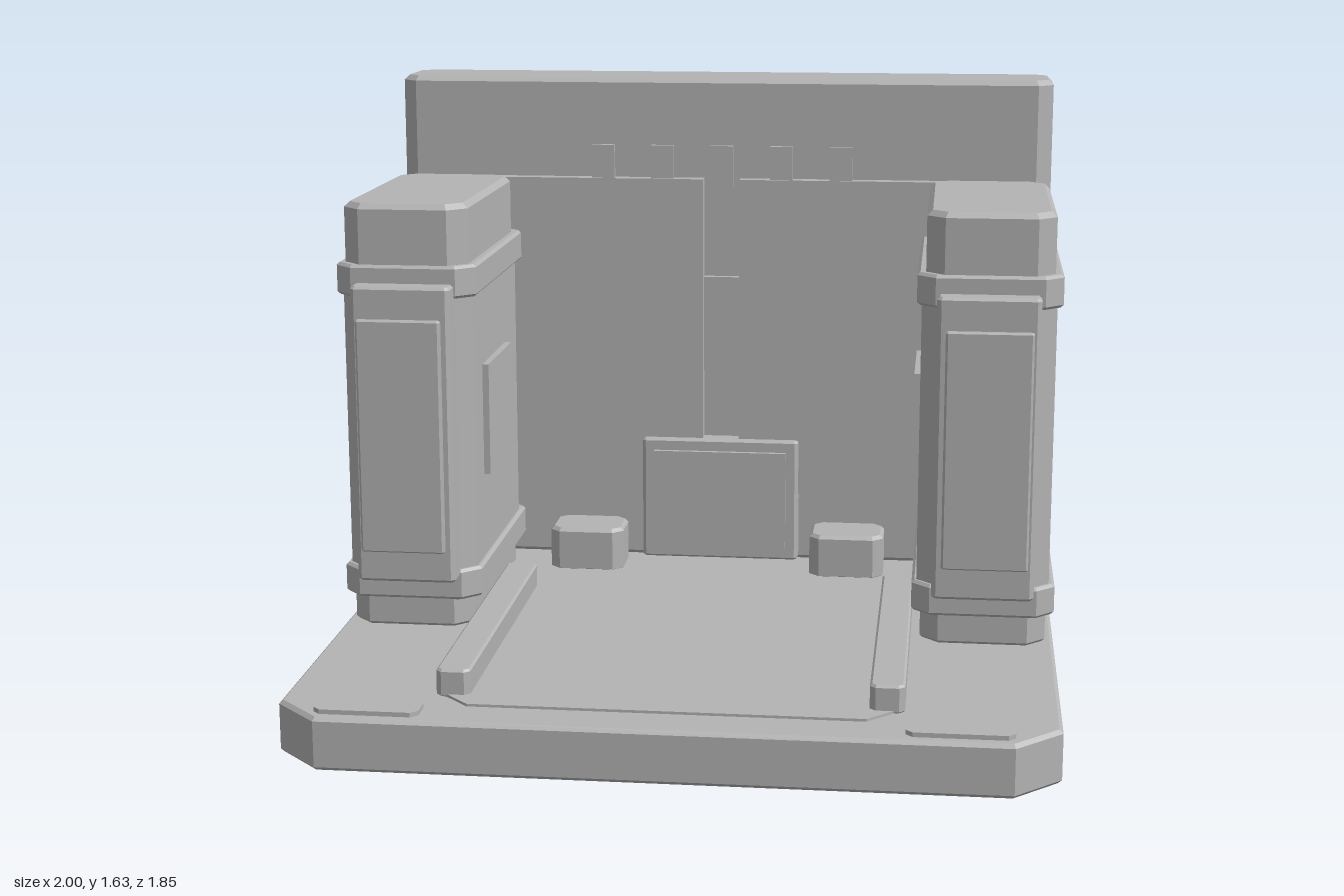
import * as THREE from 'three';

const grey = new THREE.MeshStandardMaterial({ color: 0xb4b4b4 });
grey.name = 'grey';

// Upright block between two corners, with corners cut in plan and softened top and bottom edges
function block(parent, name, [x0, x1], [y0, y1], [z0, z1], cut = 0, bevel = 0) {
  const w = (x1 - x0) / 2, d = (z1 - z0) / 2, h = y1 - y0;
  let geometry;
  if (cut > 0) {
    const shape = new THREE.Shape([
      [w - cut, -d], [w, -d + cut], [w, d - cut], [w - cut, d],
      [-w + cut, d], [-w, d - cut], [-w, -d + cut], [-w + cut, -d],
    ].map(([x, y]) => new THREE.Vector2(x, y)));
    geometry = new THREE.ExtrudeGeometry(shape, {
      depth: h - 2 * bevel, bevelEnabled: bevel > 0,
      bevelThickness: bevel, bevelSize: bevel, bevelOffset: -bevel, bevelSegments: 1,
    });
    geometry.translate(0, 0, bevel - h / 2).rotateX(-Math.PI / 2);
  } else {
    geometry = new THREE.BoxGeometry(2 * w, h, 2 * d);
  }
  const mesh = new THREE.Mesh(geometry, grey);
  mesh.name = name;
  mesh.position.set((x0 + x1) / 2, (y0 + y1) / 2, (z0 + z1) / 2);
  parent.add(mesh);
  return mesh;
}

// Tower on the model's left; turned into the right one by mirroring x spans
function tower(side) {
  const group = new THREE.Group();
  group.name = side > 0 ? 'leftTower' : 'rightTower';
  const span = (a, b) => (side > 0 ? [a, b] : [-b, -a]);
  const add = (name, x, y, z, cut, bevel) => block(group, name, span(...x), y, z, cut, bevel);

  add('towerFoot', [0.63, 0.975], [0.14, 0.24], [-0.56, 0.155], 0.05, 0.01);
  add('towerBody', [0.618, 0.982], [0.22, 1.17], [-0.56, 0.16], 0.05, 0.01);
  add('towerCap', [0.628, 0.975], [1.15, 1.343], [-0.56, 0.157], 0.05, 0.015);
  add('lowerBand', [0.605, 0.998], [0.225, 0.312], [-0.6, 0.167], 0.05, 0.008);
  add('upperBand', [0.605, 0.998], [1.085, 1.175], [-0.6, 0.167], 0.05, 0.008);
  add('frontPanel', [0.66, 0.938], [0.29, 1.125], [0.14, 0.225], 0.012, 0.008);
  add('frontInset', [0.685, 0.92], [0.38, 1.035], [0.22, 0.245], 0.006, 0.004);
  add('innerPlate', [0.6, 0.625], [0.55, 0.87], [-0.34, 0.0]);

  // Curved pipe from the tower to the back wall
  const path = new THREE.CatmullRomCurve3([
    [0.82, 0.68, -0.51], [0.835, 0.5, -0.575], [0.845, 0.37, -0.66],
  ].map(([x, y, z]) => new THREE.Vector3(side * x, y, z)));
  const pipe = new THREE.Mesh(new THREE.TubeGeometry(path, 10, 0.032, 10), grey);
  pipe.name = 'pipe';
  group.add(pipe);
  return group;
}

export function createModel() {
  const model = new THREE.Group();
  model.name = 'dockingStation';

  // Base and floor
  block(model, 'base', [-1, 1], [0, 0.142], [-0.84, 0.925], 0.12, 0.01);
  block(model, 'floorPlate', [-0.58, 0.58], [0.13, 0.149], [-0.6, 0.8], 0.07);

  // Back wall with a rear strip
  block(model, 'backWall', [-0.985, 0.985], [0.138, 1.63], [-0.912, -0.642], 0.045, 0.015);
  block(model, 'rearStrip', [-0.083, 0.083], [0.22, 1.49], [-0.927, -0.9], 0.008, 0.004);

  for (const side of [-1, 1]) {
    const span = (a, b) => (side > 0 ? [a, b] : [-b, -a]);
    model.add(tower(side));
    block(model, 'wallPanel', span(0.055, 0.7), [0.36, 1.33], [-0.65, -0.6]);
    block(model, 'floorRail', span(0.515, 0.605), [0.14, 0.215], [-0.26, 0.735], 0.015, 0.006);
    block(model, 'floorBlock', span(0.285, 0.508), [0.14, 0.275], [-0.6, -0.43], 0.03, 0.01);
    block(model, 'frontPad', span(0.61, 0.88), [0.153, 0.165], [0.83, 0.925], 0.018);
  }

  // Row of tabs along the top of the wall panels
  for (let i = -2; i <= 2; i++) {
    const x = i * 0.18;
    block(model, 'tab', [x - 0.034, x + 0.034], [1.305, 1.43], [-0.626, -0.608]);
  }

  // Middle plate and screen
  block(model, 'middlePlate', [-0.055, 0.055], [0.74, 1.03], [-0.65, -0.62]);
  block(model, 'screenFrame', [-0.24, 0.24], [0.155, 0.53], [-0.645, -0.575], 0.01, 0.006);
  block(model, 'screen', [-0.203, 0.203], [0.197, 0.495], [-0.58, -0.56]);
  return model;
}
